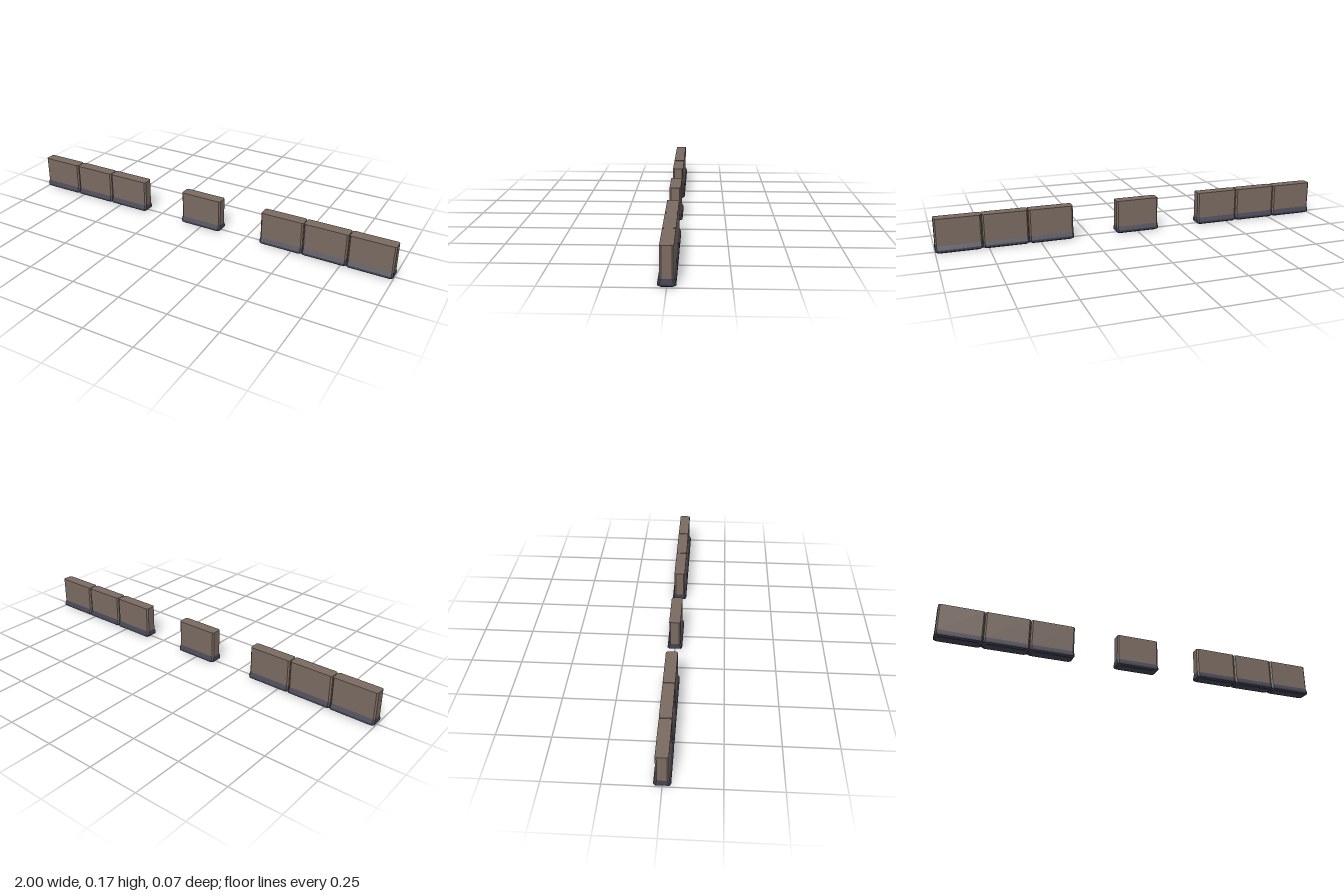
import * as THREE from 'three';

// Rectangle with cut corners in plan: half width, half depth, corner cut
function ring(y, hx, hz, c) {
  return [[hx, hz - c], [hx - c, hz], [c - hx, hz], [-hx, hz - c],
    [-hx, c - hz], [c - hx, -hz], [hx - c, -hz], [hx, c - hz]]
    .map(([x, z]) => new THREE.Vector3(x, y, z));
}

// Closed solid through rings ordered from bottom to top
function loft(rings) {
  const points = [];
  const tri = (a, b, c) => [a, b, c].forEach((v) => points.push(v.x, v.y, v.z));
  for (let r = 0; r < rings.length - 1; r++) {
    const lo = rings[r], hi = rings[r + 1];
    for (let i = 0; i < 8; i++) {
      const j = (i + 1) % 8;
      tri(lo[j], lo[i], hi[i]);
      tri(lo[j], hi[i], hi[j]);
    }
  }
  const bottom = rings[0], top = rings[rings.length - 1];
  for (let i = 1; i < 7; i++) {
    tri(bottom[0], bottom[i], bottom[i + 1]);
    tri(top[0], top[i + 1], top[i]);
  }
  const geometry = new THREE.BufferGeometry();
  geometry.setAttribute('position', new THREE.Float32BufferAttribute(points, 3));
  geometry.computeVertexNormals();
  return geometry;
}

export function createModel() {
  const model = new THREE.Group();
  model.name = 'wallRow';
  const stone = new THREE.MeshStandardMaterial({ color: 0x7a6a61 });
  stone.name = 'brownStone';
  const slate = new THREE.MeshStandardMaterial({ color: 0x424150 });
  slate.name = 'darkSlate';

  // Upright slab and flared plinth, shared by all segments
  const slab = loft([ring(0.034, 0.1095, 0.028, 0.007), ring(0.168, 0.1095, 0.028, 0.007)]);
  const plinth = loft([
    ring(0, 0.102, 0.027, 0.007),
    ring(0.007, 0.1105, 0.0365, 0.008),
    ring(0.017, 0.1111, 0.0365, 0.008),
    ring(0.035, 0.1095, 0.028, 0.007),
  ]);

  // Nine equal slots, with one left open either side of the middle
  for (const slot of [-4, -3, -2, 0, 2, 3, 4]) {
    const segment = new THREE.Group();
    segment.name = 'wallSegment';
    const body = new THREE.Mesh(slab, stone);
    body.name = 'wallSlab';
    const base = new THREE.Mesh(plinth, slate);
    base.name = 'plinth';
    segment.add(body, base);
    segment.position.x = slot * 2 / 9;
    model.add(segment);
  }
  return model;
}
